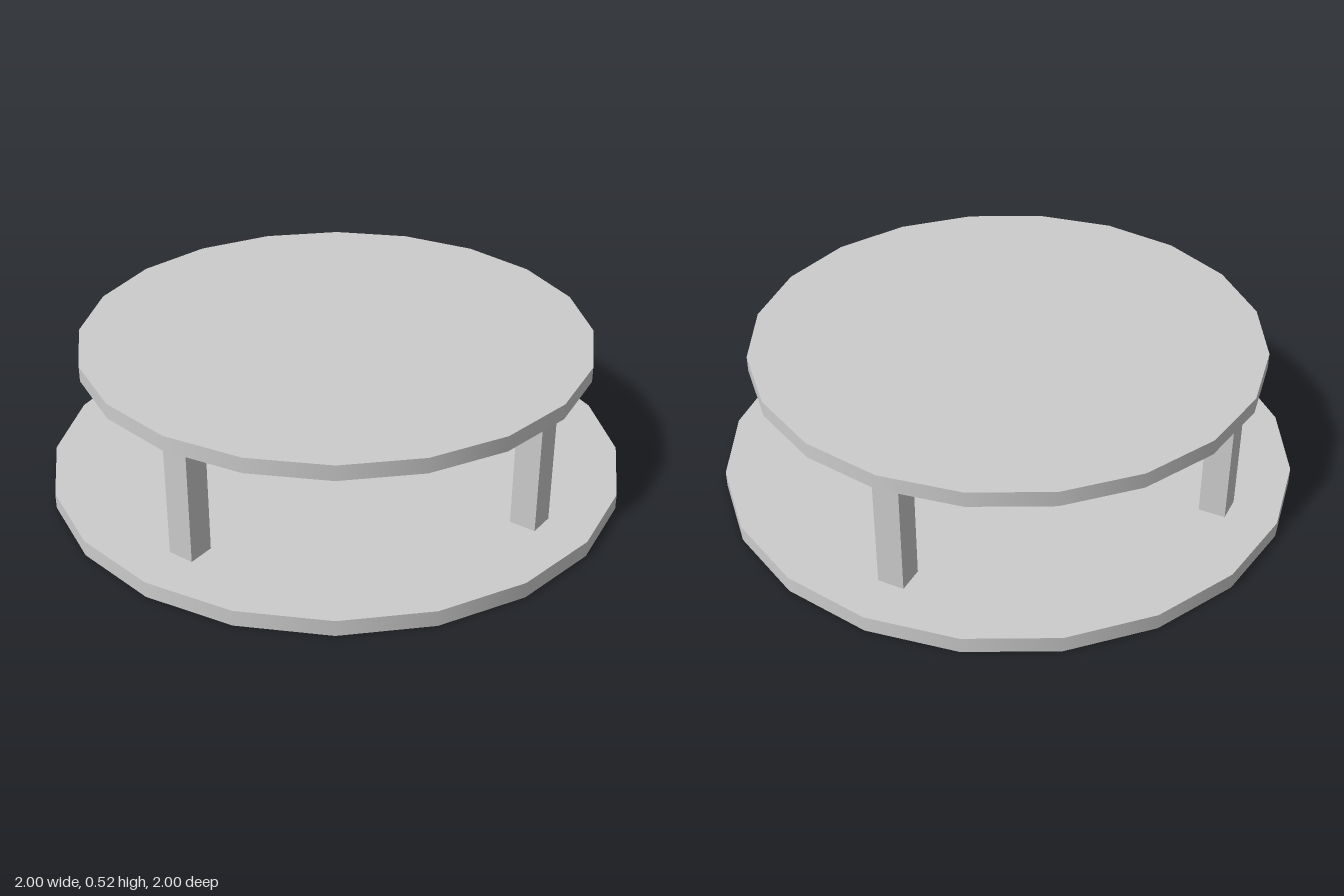
import * as THREE from 'three';

const material = new THREE.MeshStandardMaterial({ color: 0xcccccc });

function add(group, name, geometry, x, y, z) {
  const mesh = new THREE.Mesh(geometry, material);
  mesh.name = name;
  mesh.position.set(x, y, z);
  group.add(mesh);
}

export function createModel() {
  const group = new THREE.Group();
  group.name = 'tieredStand';

  const baseTop = 0.055, shelfBottom = 0.469, shelfTop = 0.522;
  const disc = (radius, height) => new THREE.CylinderGeometry(radius, radius, height, 20);

  // Wide lower disc and smaller upper disc
  add(group, 'lowerDisc', disc(1, baseTop), 0, baseTop / 2, 0);
  add(group, 'upperDisc', disc(0.88, shelfTop - shelfBottom), 0, (shelfTop + shelfBottom) / 2, 0);

  // Four square posts, one on each axis
  const post = new THREE.BoxGeometry(0.092, shelfBottom - baseTop, 0.092);
  const names = ['leftPost', 'frontPost', 'rightPost', 'backPost'];
  names.forEach((name, i) => {
    const a = (i * Math.PI) / 2;
    add(group, name, post, 0.787 * Math.cos(a), (baseTop + shelfBottom) / 2, 0.787 * Math.sin(a));
  });

  return group;
}
